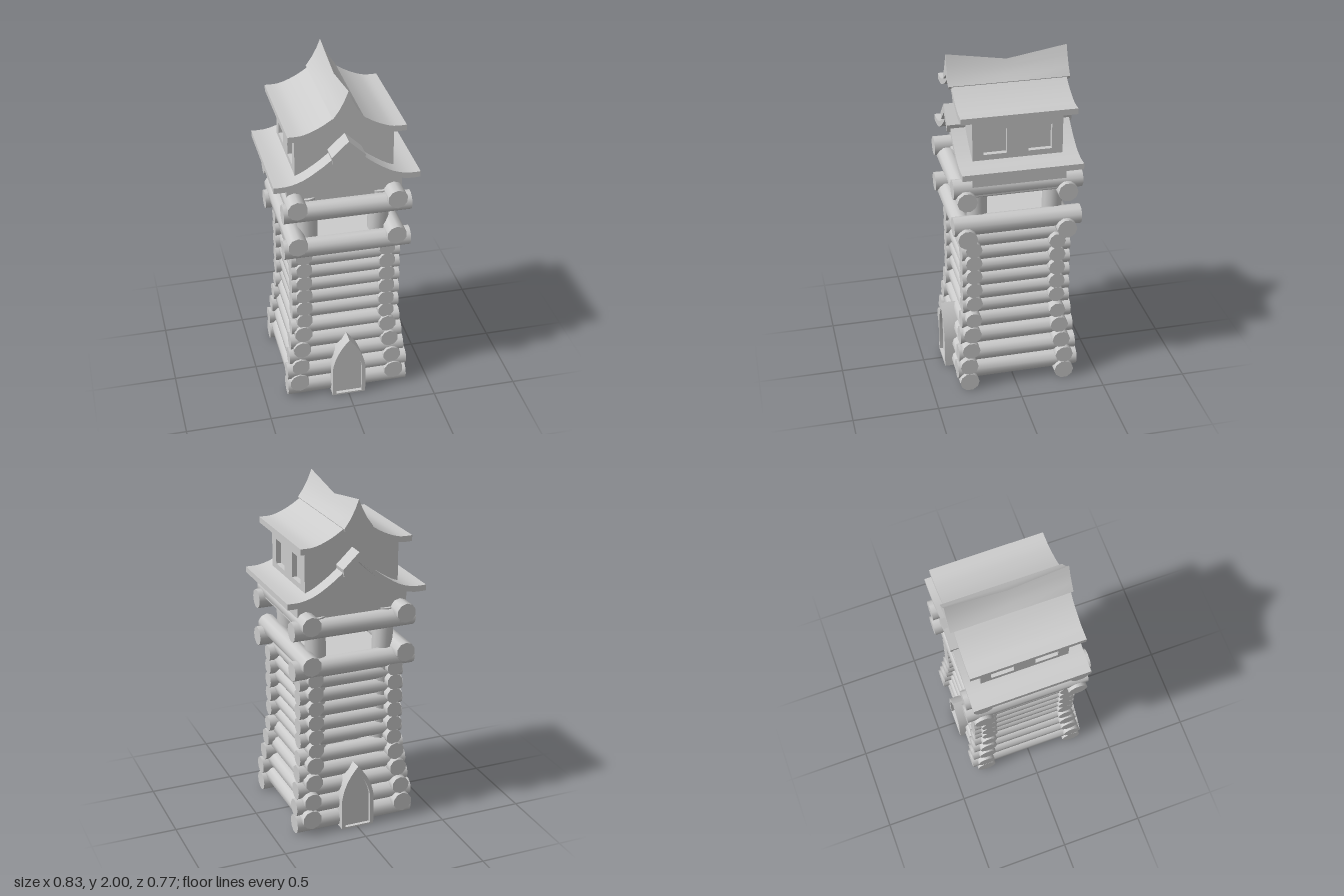
import * as THREE from 'three';
import { toCreasedNormals } from 'three/addons/utils/BufferGeometryUtils.js';

const MID = -0.02; // z centre of the timber frame and the house
const grey = new THREE.MeshStandardMaterial({ color: 0xcccccc, side: THREE.DoubleSide });
const V = (x, y, z) => new THREE.Vector3(x, y, z);

function add(parent, name, geometry) {
  const mesh = new THREE.Mesh(geometry, grey);
  mesh.name = name;
  parent.add(mesh);
  return mesh;
}

// Round timber from a to b
function log(parent, name, a, b, r, rTop = r) {
  const dir = b.clone().sub(a);
  const geo = toCreasedNormals(new THREE.CylinderGeometry(rTop, r, dir.length(), 10), 0.8);
  const mesh = add(parent, name, geo);
  mesh.position.copy(a).add(b).multiplyScalar(0.5);
  mesh.quaternion.setFromUnitVectors(V(0, 1, 0), dir.normalize());
  return mesh;
}

const shapeOf = (pts) => new THREE.Shape(pts.map(([x, y]) => new THREE.Vector2(x, y)));

// Mirror a half outline that runs from the centre outward
const mirror = (half) => [...half.map(([x, y]) => [-x, y]).reverse(), ...half.slice(1)];

// Extrude an outline in z from z0 to z1
function slab(shape, z0, z1, steps = 1) {
  const geo = new THREE.ExtrudeGeometry(shape, { depth: z1 - z0, bevelEnabled: false, steps, curveSegments: 8 });
  return geo.translate(0, 0, z0);
}

// Smooth half profile
function smooth(pts, n = 12) {
  const curve = new THREE.SplineCurve(pts.map(([x, y]) => new THREE.Vector2(x, y)));
  return curve.getPoints(n).map((p) => [p.x, p.y]);
}

// Curved gable roof of even thickness
function roof(parent, name, half, thick, z0, z1) {
  const top = mirror(smooth(half));
  const under = top.map(([x, y]) => [x, y - thick]).reverse();
  add(parent, name, toCreasedNormals(slab(shapeOf([...top, ...under]), z0, z1), 0.5));
}

// Wall filling the gable under a roof, cut at half width w
function gable(parent, name, half, w, edgeY, base, z0, z1) {
  const inner = smooth(half).filter(([x]) => x < w - 0.01).map(([x, y]) => [x, y - 0.015]);
  const top = mirror([...inner, [w, edgeY]]);
  add(parent, name, slab(shapeOf([...top, [w, base], [-w, base]]), z0, z1));
}

// Distance of the log walls from the middle at a given height
function spread(y) {
  if (y < 0.2) return 0.288;
  return THREE.MathUtils.lerp(0.28, 0.244, Math.min((y - 0.2) / 0.32, 1));
}

// Pointed arch outline
function arch(w, base, spring, peak) {
  const s = new THREE.Shape();
  s.moveTo(-w, base);
  s.lineTo(w, base);
  s.lineTo(w, spring);
  s.quadraticCurveTo(w * 0.85, spring + (peak - spring) * 0.55, 0, peak);
  s.quadraticCurveTo(-w * 0.85, spring + (peak - spring) * 0.55, -w, spring);
  s.closePath();
  return s;
}

export function createModel() {
  const model = new THREE.Group();
  model.name = 'logWatchtower';

  // Pairs of logs running along x, and along z half a log higher
  const logs = new THREE.Group();
  logs.name = 'logWalls';
  model.add(logs);
  function pairX(name, y, off, len, r) {
    for (const s of [1, -1]) log(logs, name, V(-len, y, s * off - 0.004), V(len + 0.004, y, s * off - 0.004), r);
  }
  function pairZ(name, y, off, len, r) {
    for (const s of [1, -1]) log(logs, name, V(s * off - 0.004, y, MID - len), V(s * off - 0.004, y, MID + len + 0.008), r);
  }
  const frontY = [0.06, 0.168, 0.268, 0.368, 0.463, 0.572, 0.664, 0.755, 0.843, 0.93];
  const sideY = [0.11, 0.218, 0.333, 0.437, 0.528, 0.615, 0.704, 0.792, 0.88, 0.968];
  for (let i = 0; i < 10; i++) {
    const r = i === 0 ? 0.058 : i < 4 ? 0.053 : 0.048;
    const a = spread(frontY[i]), b = spread(sideY[i]);
    pairX('wallLogAcross', frontY[i], a, a + 0.073, r);
    pairZ('wallLogAlong', sideY[i], b, b + 0.07, r);
  }

  // Parapet and upper frame beams
  for (const y of [1.03, 1.266]) {
    pairX('beamAcross', y, 0.287, 0.364, 0.057);
    pairZ('beamAlong', y + 0.048, 0.285, 0.364, 0.057);
  }

  // Corner posts: leaning below, upright through the lookout
  for (const sx of [1, -1]) for (const sz of [1, -1]) {
    const at = (d, y) => V(sx * d, y, MID + sz * (d + 0.012));
    log(model, 'lowerPost', at(0.23, 0.03), at(0.19, 0.55), 0.05);
    log(model, 'upperPost', at(0.19, 0.5), at(0.212, 1.33), 0.053, 0.062);
  }

  // Lookout floor
  add(model, 'lookoutFloor', new THREE.BoxGeometry(0.5, 0.03, 0.5)).position.set(0, 1.04, MID);

  // Pointed doors at the front and back
  for (const s of [1, -1]) {
    const door = new THREE.Group();
    door.name = s > 0 ? 'frontDoor' : 'backDoor';
    const frame = arch(0.1, 0.01, 0.2, 0.405);
    frame.holes.push(arch(0.078, 0.02, 0.2, 0.365));
    add(door, 'doorFrame', toCreasedNormals(slab(frame, 0.24, 0.383), 0.5));
    add(door, 'doorPanel', slab(arch(0.085, 0.015, 0.2, 0.375), 0.24, 0.362));
    if (s < 0) door.rotation.y = Math.PI;
    model.add(door);
  }

  // Lower storey and its roof
  const lowHalf = [[0, 1.685], [0.07, 1.615], [0.135, 1.56], [0.22, 1.503], [0.28, 1.475], [0.345, 1.46], [0.415, 1.46]];
  gable(model, 'lowerStorey', lowHalf, 0.33, 1.445, 1.28, -0.287, 0.247);
  roof(model, 'lowerRoof', lowHalf, 0.034, -0.362, 0.319);

  // Chevron cap on the lower ridge
  const chevron = [...mirror([[0, 1.708], [0.095, 1.618]]), [0.088, 1.575], [0, 1.655], [-0.088, 1.575]];
  add(model, 'lowerRidgeCap', slab(shapeOf(chevron), -0.376, 0.338));

  // Upper storey: core plus side walls with recessed windows
  const highHalf = [[0, 1.9], [0.08, 1.84], [0.15, 1.796], [0.22, 1.766], [0.27, 1.755], [0.33, 1.755]];
  gable(model, 'upperStorey', highHalf, 0.25, 1.742, 1.42, -0.275, 0.235);
  for (const s of [1, -1]) {
    const wall = shapeOf([[-0.255, 1.42], [0.255, 1.42], [0.255, 1.74], [-0.255, 1.74]]);
    for (const c of [-0.127, 0.127]) {
      wall.holes.push(shapeOf([[c - 0.066, 1.507], [c - 0.066, 1.655], [c + 0.066, 1.655], [c + 0.066, 1.507]]));
    }
    const side = add(model, 'windowWall', slab(wall, 0.25, 0.28));
    side.rotation.y = s * Math.PI / 2;
    side.position.z = MID;
  }
  roof(model, 'upperRoof', highHalf, 0.034, -0.345, 0.307);

  // Tall ridge that sags towards its middle
  const crest = mirror([[0, 2], [0.022, 1.945], [0.05, 1.892], [0.085, 1.842]]);
  const ridge = slab(shapeOf([...crest, [0.078, 1.826], [0, 1.88], [-0.078, 1.826]]), -0.364, 0.322, 2);
  const p = ridge.attributes.position;
  for (let i = 0; i < p.count; i++) {
    const sag = 1 - Math.abs(p.getZ(i) + 0.021) / 0.343;
    const lift = Math.max(0, (p.getY(i) - 1.842) / 0.158);
    p.setY(i, p.getY(i) - 0.056 * sag * lift);
  }
  add(model, 'upperRidge', toCreasedNormals(ridge, 0.5));

  return model;
}
